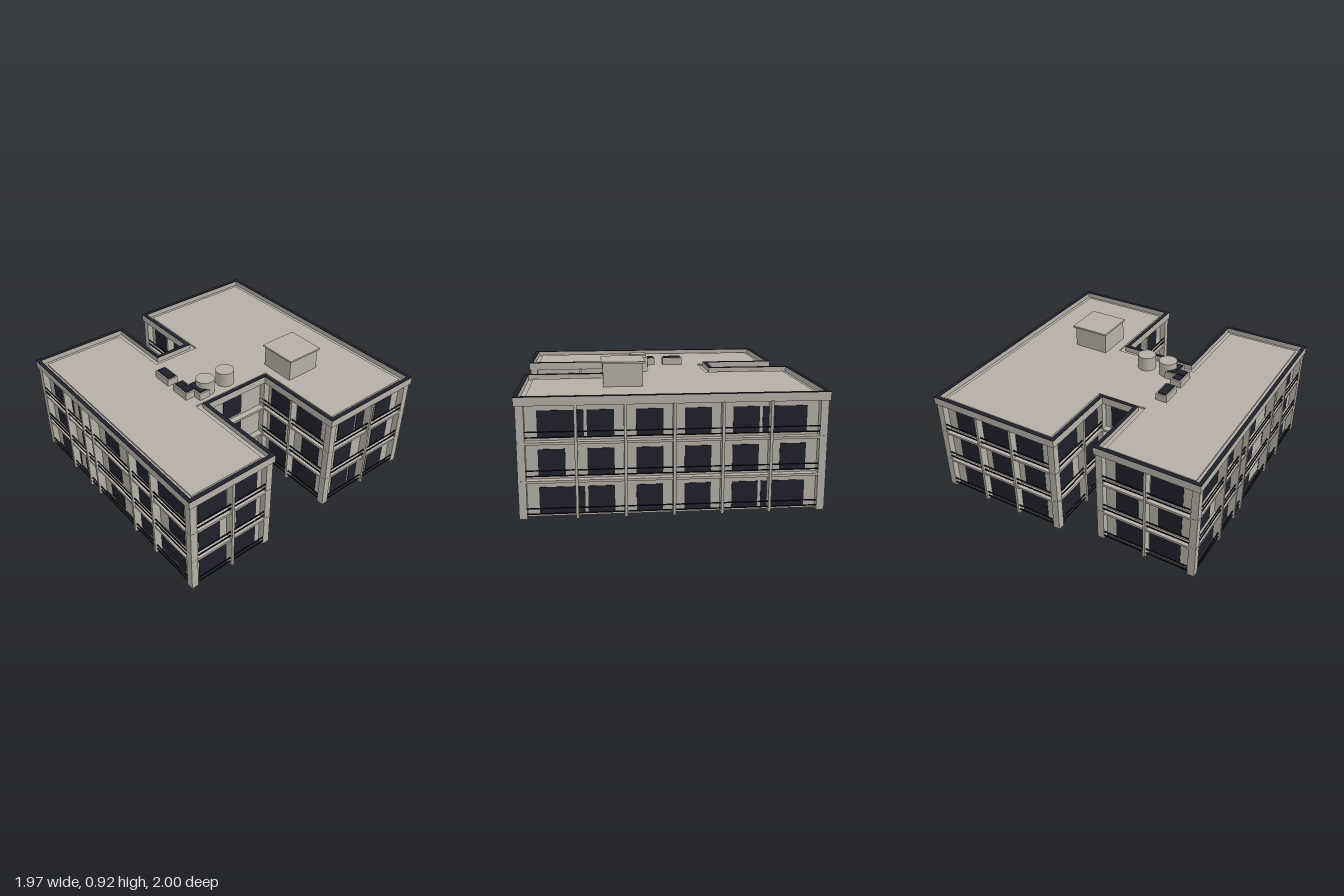
import * as THREE from 'three';

const concrete = new THREE.MeshStandardMaterial({ color: 0xb5afa6 });
concrete.name = 'concrete';
const dark = new THREE.MeshStandardMaterial({ color: 0x20202c });
dark.name = 'darkGlass';
const black = new THREE.MeshStandardMaterial({ color: 0x12121a });
black.name = 'railBlack';

const WALL = 0.055; // depth of the recessed wall behind the outline
const FLOORS = [0, 0.245, 0.49];

// Building outline (x, z), walked so that each edge runs left to right seen from outside
const outline = [
  [-0.907, 0.997], [0.983, 0.997], [0.983, 0.33], [0.308, 0.33], [0.308, -0.185], [0.97, -0.185],
  [0.97, -1], [-0.985, -1], [-0.985, 0.004], [-0.4, 0.004], [-0.4, 0.25], [-0.907, 0.25],
];
const windowCounts = [5, 2, 2, 1, 2, 2, 6, 3, 2, 1, 2, 2];

// Start, length, direction and outward normal of each side
const edges = outline.map((a, i) => {
  const b = outline[(i + 1) % outline.length];
  const length = Math.hypot(b[0] - a[0], b[1] - a[1]);
  const u = [(b[0] - a[0]) / length, (b[1] - a[1]) / length];
  return { a, length, u, n: [-u[1], u[0]] };
});
const before = (i) => edges[(i + edges.length - 1) % edges.length];
// A corner is convex when the next edge turns away from the outward normal
const isConvex = (i) => {
  const p = before(i), e = edges[i % edges.length];
  return p.n[0] * e.u[0] + p.n[1] * e.u[1] < 0;
};

// Outline moved inward by d, as shape points (x, -z)
function inset(d) {
  return edges.map((e, i) => {
    const p = before(i);
    return new THREE.Vector2(e.a[0] - d * (e.n[0] + p.n[0]), -(e.a[1] - d * (e.n[1] + p.n[1])));
  });
}

function add(parent, name, geometry, material, x = 0, y = 0, z = 0) {
  const mesh = new THREE.Mesh(geometry, material);
  mesh.name = name;
  mesh.position.set(x, y, z);
  parent.add(mesh);
}

// Box given by its minimum and maximum corners
function box(parent, name, material, x0, x1, y0, y1, z0, z1) {
  add(parent, name, new THREE.BoxGeometry(x1 - x0, y1 - y0, z1 - z0), material,
    (x0 + x1) / 2, (y0 + y1) / 2, (z0 + z1) / 2);
}

// Horizontal slab following the outline, optionally hollow
function slab(parent, name, material, d, y0, y1, hole) {
  const shape = new THREE.Shape(inset(d));
  if (hole !== undefined) shape.holes.push(new THREE.Path(inset(hole)));
  const geometry = new THREE.ExtrudeGeometry(shape, { depth: y1 - y0, bevelEnabled: false });
  geometry.rotateX(-Math.PI / 2);
  add(parent, name, geometry, material, 0, y0, 0);
}

// One side of the building: windows, fins and rails; local +z points outward
function facade(edge, i) {
  const g = new THREE.Group();
  g.name = 'facade';
  g.position.set(edge.a[0], 0, edge.a[1]);
  g.rotation.y = Math.atan2(-edge.u[1], edge.u[0]);
  const s0 = isConvex(i) ? WALL : -WALL;
  const s1 = edge.length + (isConvex(i + 1) ? -WALL : WALL);
  const span = s1 - s0, count = windowCounts[i];
  const margin = span > 0.6 ? 0.078 : 0.043;
  const narrow = 0.168;
  const wide = Math.min(0.285, span / 2 - margin - 0.015);
  const first = s0 + margin + narrow / 2, last = s1 - margin - narrow / 2;
  const step = count > 1 ? (last - first) / (count - 1) : 0;

  FLOORS.forEach((y, f) => {
    const pane = (x0, x1) =>
      box(g, 'window', dark, x0, x1, y + 0.016, y + 0.191, -WALL - 0.002, -WALL + 0.004);
    for (let k = 0; k < count; k++) {
      const c = count > 1 ? first + k * step : (s0 + s1) / 2;
      let x0 = c - narrow / 2, x1 = c + narrow / 2;
      // end windows are broader on the lowest and highest floors
      if (f !== 1 && count > 1) {
        if (i === 5) {
          // side panes set apart by a narrow mullion
          if (k === 0) pane(x1 + 0.015, x0 + wide);
          else pane(x1 - wide, x0 - 0.015);
        } else if (k === 0) x1 = x0 + wide;
        else if (k === count - 1) x0 = x1 - wide;
      }
      pane(x0, x1);
    }
    // rails span the bays, but not the short inner walls of the two recesses
    if (count > 1) {
      for (const h of [0.031, 0.066]) {
        box(g, 'rail', black, s0, s1, y + h - 0.0035, y + h + 0.0035, -0.016, -0.009);
      }
    }
  });

  // Slender fins between bays
  let fins = [];
  for (let k = 0; k < count - 1; k++) fins.push(first + (k + 0.5) * step);
  if (i === 0) fins = [0.397, 0.642, 0.762, 1.237, 1.48];
  for (const x of fins) box(g, 'fin', concrete, x - 0.009, x + 0.009, 0, 0.725, -WALL, 0.003);
  return g;
}

export function createModel() {
  const model = new THREE.Group();
  model.name = 'building';

  // Core, floor ledges and roof edge
  slab(model, 'wallCore', concrete, WALL, 0, 0.735);
  for (const y of [0.23, 0.475]) slab(model, 'floorLedge', concrete, 0.008, y, y + 0.016, WALL + 0.01);
  slab(model, 'roofLedge', concrete, 0.01, 0.72, 0.738, WALL + 0.01);
  slab(model, 'roofDeck', concrete, 0.061, 0.73, 0.75);
  slab(model, 'parapet', concrete, 0, 0.72, 0.773, 0.027);
  slab(model, 'parapetCap', dark, 0, 0.773, 0.777, 0.027);

  // Square posts at every corner
  const posts = inset(0.034);
  edges.forEach((edge, i) => {
    model.add(facade(edge, i));
    add(model, 'cornerPost', new THREE.BoxGeometry(0.05, 0.725, 0.05), concrete,
      posts[i].x, 0.3625, -posts[i].y);
  });

  // Stair house on the roof
  box(model, 'stairHouse', concrete, 0.16, 0.425, 0.74, 0.905, -0.58, -0.315);
  box(model, 'stairHouseRoof', concrete, 0.145, 0.435, 0.905, 0.917, -0.595, -0.305);

  // Water tanks
  for (const z of [0.055, 0.23]) {
    add(model, 'waterTank', new THREE.CylinderGeometry(0.066, 0.066, 0.115, 32), concrete, 0.145, 0.7975, z);
  }

  // Cooling units with dark vents on top
  const units = [
    { x: [-0.21, -0.058], z: [0.32, 0.405], vents: [[-0.2, -0.068]] },
    { x: [0.005, 0.155], z: [0.32, 0.405], vents: [[0.018, 0.074], [0.084, 0.142]] },
    { x: [0.07, 0.217], z: [0.243, 0.333], vents: [[0.083, 0.205]] },
  ];
  for (const u of units) {
    box(model, 'coolingUnit', concrete, u.x[0], u.x[1], 0.74, 0.802, u.z[0], u.z[1]);
    for (const [x0, x1] of u.vents) {
      box(model, 'vent', dark, x0, x1, 0.802, 0.809, u.z[0] + 0.011, u.z[1] - 0.011);
    }
  }
  return model;
}
